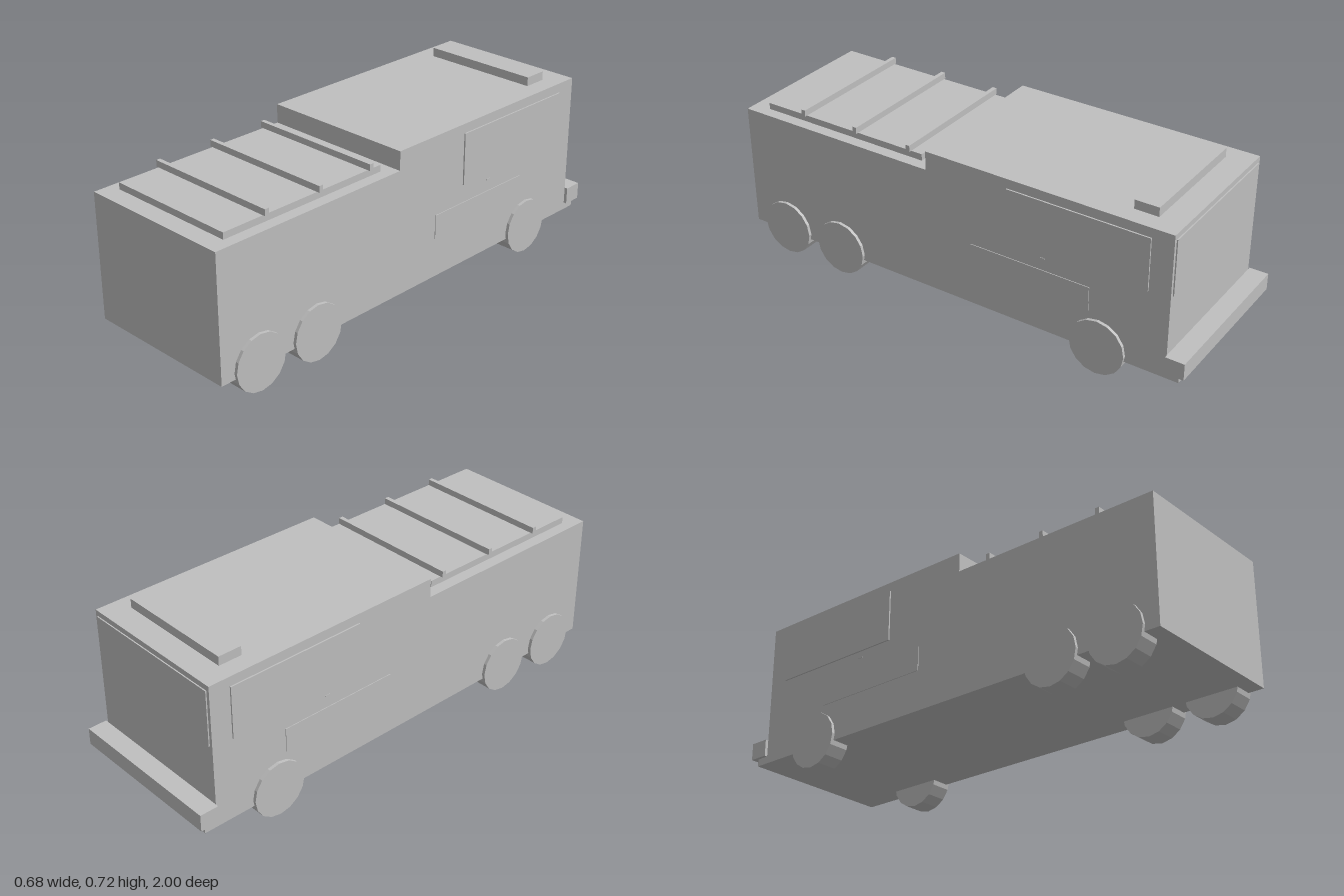
import * as THREE from 'three';

export function createModel() {
  const model = new THREE.Group();
  const grey = new THREE.MeshStandardMaterial({ color: 0xbfbfbf });

  const add = (name, geometry, x = 0, y = 0, z = 0) => {
    const mesh = new THREE.Mesh(geometry, grey);
    mesh.name = name;
    mesh.position.set(x, y, z);
    model.add(mesh);
    return mesh;
  };
  // Box given by its limits on each axis
  const box = (name, x0, x1, y0, y1, z0, z1) =>
    add(name, new THREE.BoxGeometry(x1 - x0, y1 - y0, z1 - z0),
      (x0 + x1) / 2, (y0 + y1) / 2, (z0 + z1) / 2);

  // Body: stepped side profile extruded across the width
  const W = 0.328;
  const profile = new THREE.Shape([
    [-1, 0.09], [0.975, 0.09], [0.975, 0.12], [0.922, 0.12], [0.922, 0.686],
    [-0.115, 0.686], [-0.115, 0.608], [-1, 0.608],
  ].map(([x, y]) => new THREE.Vector2(x, y)));
  const bodyGeometry = new THREE.ExtrudeGeometry(profile, { depth: 2 * W, bevelEnabled: false });
  bodyGeometry.translate(0, 0, -W).rotateY(Math.PI / 2);
  add('body', bodyGeometry);

  // Low front deck with cross bars
  box('deckPanel', -0.28, 0.28, 0.608, 0.635, 0.168, 0.924);
  for (const z of [0.226, 0.481, 0.737]) {
    box('crossBar', -0.291, 0.291, 0.635, 0.661, z - 0.009, z + 0.009);
  }

  // Roof unit, rear bumper and rear window
  box('roofUnit', -0.253, 0.253, 0.686, 0.723, -0.82, -0.722);
  box('rearBumper', -0.341, 0.341, 0.12, 0.19, -1, -0.93 + 0.008);
  box('rearWindow', -0.315, 0.315, 0.435, 0.664, -0.927, -0.921);

  for (const side of [-1, 1]) {
    // Thin panels on each flank
    const plate = (name, out, y0, y1, z0, z1) => {
      const a = side * (W - 0.001), b = side * (W + out);
      box(name, Math.min(a, b), Math.max(a, b), y0, y1, z0, z1);
    };
    plate('sideWindow', 0.006, 0.432, 0.647, -0.835, -0.245);
    plate('sidePanel', 0.003, 0.255, 0.355, -0.6, -0.087);
    plate('sideHandle', 0.002, 0.402, 0.408, -0.41, -0.39);

    // Three wheels per side
    for (const z of [0.826, 0.548, -0.643]) {
      const wheel = new THREE.CylinderGeometry(0.115, 0.115, 0.088, 16).toNonIndexed();
      wheel.computeVertexNormals();
      wheel.rotateZ(Math.PI / 2);
      add('wheel', wheel, side * 0.297, 0.115, z);
    }
  }
  return model;
}
